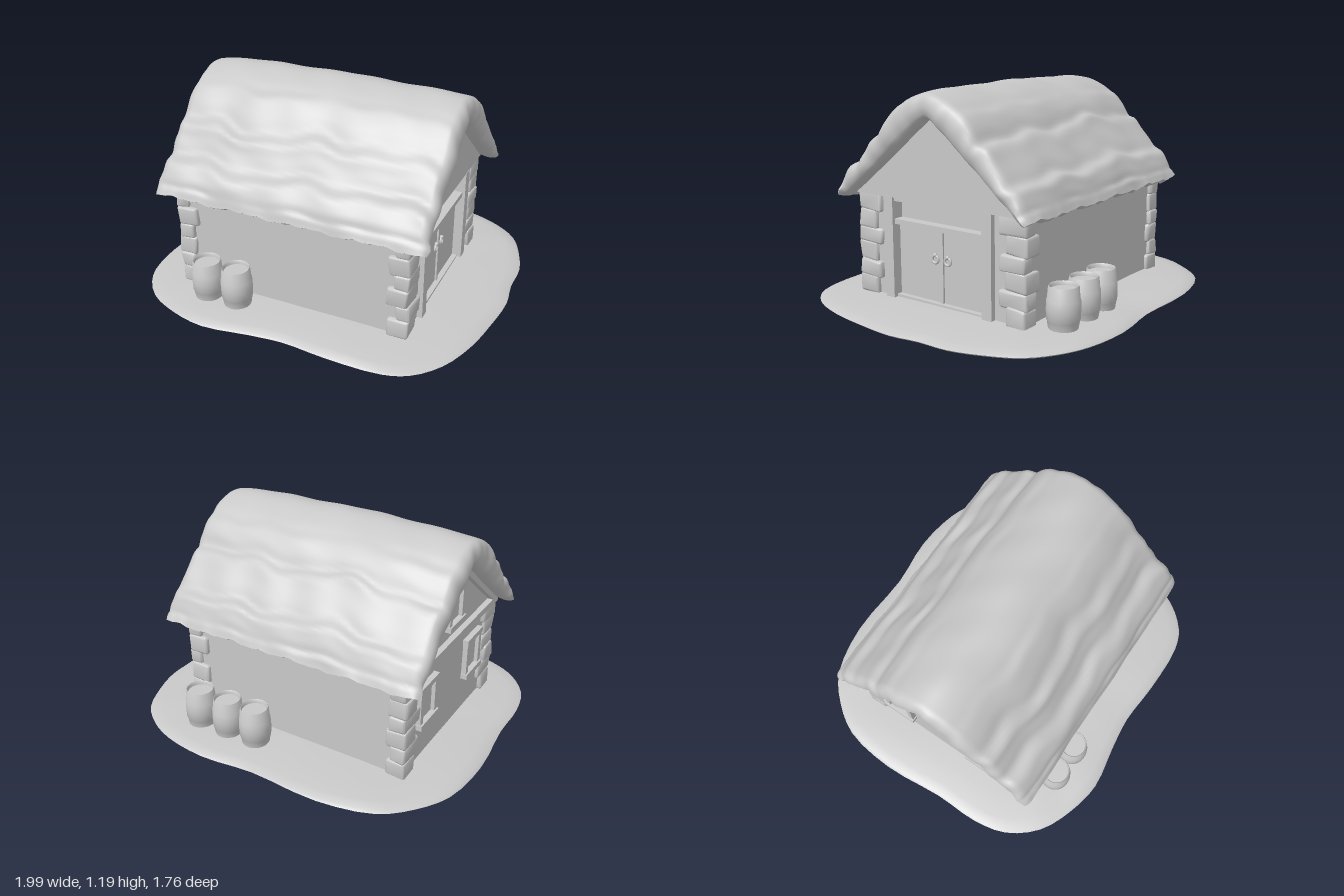
import * as THREE from 'three';
import { toCreasedNormals } from 'three/addons/utils/BufferGeometryUtils.js';
import { RoundedBoxGeometry } from 'three/addons/geometries/RoundedBoxGeometry.js';

const clay = new THREE.MeshStandardMaterial({ color: 0xc8c8c8 });
clay.name = 'pale grey';

const mesh = (name, geo, parent) => {
  const m = new THREE.Mesh(geo, clay);
  m.name = name;
  parent.add(m);
  return m;
};
const wave = (a, b) => (Math.sin(a * 7.3 + b * 3.1) + Math.sin(a * 15.7 - b * 8.3 + 1.7) + Math.sin(a * 31 + b * 19 + 0.6) * 0.6) / 2.6;

// Skin closed loops of points, one loop after another
function loft(loops) {
  const n = loops[0].length, pos = [], idx = [];
  loops.forEach(l => l.forEach(p => pos.push(p.x, p.y, p.z)));
  for (let i = 0; i < loops.length - 1; i++) for (let j = 0; j < n; j++) {
    const a = i * n + j, b = i * n + (j + 1) % n;
    idx.push(a, a + n, b, b, a + n, b + n);
  }
  const g = new THREE.BufferGeometry();
  g.setAttribute('position', new THREE.Float32BufferAttribute(pos, 3));
  g.setIndex(idx);
  g.computeVertexNormals();
  return g;
}

// Extrude a [z, y] outline along x from x0 to x1
function extrudeX(points, x0, x1, hole) {
  const vec = p => new THREE.Vector2(-p[0], p[1]);
  const shape = new THREE.Shape(points.map(vec));
  if (hole) shape.holes.push(new THREE.Path(hole.map(vec)));
  return new THREE.ExtrudeGeometry(shape, { depth: x1 - x0, bevelEnabled: false }).rotateY(Math.PI / 2).translate(x0, 0, 0);
}

// Box given by its limits
function block(name, [x0, x1], [y0, y1], [z0, z1], parent) {
  const m = mesh(name, new THREE.BoxGeometry(x1 - x0, y1 - y0, z1 - z0), parent);
  m.position.set((x0 + x1) / 2, (y0 + y1) / 2, (z0 + z1) / 2);
  return m;
}

function ground() {
  const rim = [[-0.4, -0.87], [0, -0.855], [0.3, -0.885], [0.56, -0.85], [0.72, -0.78], [0.85, -0.67], [0.93, -0.5], [0.975, -0.33],
    [0.975, -0.15], [0.995, 0.02], [0.97, 0.25], [0.93, 0.46], [0.85, 0.66], [0.73, 0.79], [0.6, 0.84], [0.3, 0.845], [0.05, 0.825],
    [-0.15, 0.845], [-0.4, 0.88], [-0.6, 0.84], [-0.79, 0.75], [-0.92, 0.59], [-0.965, 0.4], [-0.965, 0.15], [-0.995, -0.2],
    [-0.955, -0.5], [-0.85, -0.67], [-0.7, -0.8]];
  const pts = new THREE.CatmullRomCurve3(rim.map(([x, z]) => new THREE.Vector3(x, 0, z)), true).getPoints(84).slice(0, -1);
  const rings = [[0, 0.007], [0.985, 0.007], [1, 0.018], [0.985, 0.028], [0.93, 0.037], [0.82, 0.046], [0.65, 0.054], [0, 0.056]];
  const geo = loft(rings.map(([s, y]) => pts.map(p =>
    new THREE.Vector3(p.x * s, y - 0.007 * p.z / 0.88 * s + (s > 0.7 && y > 0.02 ? wave(p.x * 0.5, p.z * 0.5) * 0.005 : 0), p.z * s))));
  return toCreasedNormals(geo, 0.9);
}

// Thick thatch with wavy courses, ragged eaves and slimmer, rounded ends
function thatch() {
  const spline = a => new THREE.CatmullRomCurve3(a.map(([z, y]) => new THREE.Vector3(0, y, z)));
  const outer = spline([[0.65, 0.6], [0.616, 0.69], [0.5, 0.805], [0.41, 0.915], [0.275, 1.065], [0.147, 1.15], [0.015, 1.18],
    [-0.123, 1.14], [-0.25, 1.05], [-0.34, 0.94], [-0.48, 0.795], [-0.57, 0.69], [-0.61, 0.6]]);
  const inner = spline([[0.615, 0.578], [0.55, 0.622], [0.43, 0.715], [0.31, 0.81], [0.2, 0.9], [0.1, 0.98], [0.015, 1.035],
    [-0.07, 0.98], [-0.17, 0.9], [-0.28, 0.81], [-0.4, 0.715], [-0.515, 0.622], [-0.575, 0.578]]);
  const N = 96, M = 72, x0 = -0.8, x1 = 0.73, R = 0.05, loops = [];
  for (let i = 0; i <= M; i++) {
    const u = i / M, s = 0.5 - 0.5 * Math.cos(u * Math.PI);
    const x = x0 + (x1 - x0) * (0.55 * s + 0.45 * u);
    const d = Math.min(x - x0, x1 - x, R) / R, pinch = Math.sqrt(Math.max(0, 1 - (1 - d) ** 2));
    const slim = 0.16 * Math.abs((x - (x0 + x1) / 2) / ((x1 - x0) / 2)) ** 4;
    const out = [], inn = [];
    for (let j = 0; j <= N; j++) {
      const t = j / N, p = outer.getPoint(t), q = inner.getPoint(t);
      const down = Math.abs(t - 0.5) * 2, eave = Math.max(0, (down - 0.9) * 10);
      const side = t < 0.5 ? 0 : 5;
      const fade = THREE.MathUtils.smoothstep(down, 0.18, 0.4) * (1 - THREE.MathUtils.smoothstep(down, 0.85, 0.95));
      const a = (down * 4.2 + wave(x * 0.7, side) * 0.2) * Math.PI * 2;
      const strength = 0.012 + 0.005 * wave(x * 0.5, down * 2 + side);
      const bump = fade * strength * Math.sin(a + 0.7 * Math.sin(a)) + wave(x * 0.7, t * 1.5) * 0.007;
      p.lerp(q, slim * (1 - eave));
      p.addScaledVector(p.clone().sub(q).normalize(), bump);
      const rag = wave(x * 2.3, side) * 0.011 * eave;
      p.y += rag; q.y += rag;
      const mid = p.clone().add(q).multiplyScalar(0.5);
      p.lerpVectors(mid, p, pinch); q.lerpVectors(mid, q, pinch);
      p.x = q.x = x + (1 - d) * wave(t * 3, x0 + u) * 0.01;
      out.push(p); inn.unshift(q);
    }
    loops.push([...out, ...inn]);
  }
  return toCreasedNormals(loft(loops), 0.9);
}

// Uneven corner stones stacked with alternating long sides
function quoins(sx, sz, parent) {
  const cx = sx > 0 ? 0.637 : -0.718, cz = sz > 0 ? 0.583 : -0.54;
  const g = new THREE.Group();
  g.name = 'cornerStones';
  let y = 0.04;
  [0.1, 0.085, 0.1, 0.08, 0.1, 0.1].forEach((h, i) => {
    const k = i + sx * 2 + sz, j = wave(k * 1.9, k);
    const lx = (i % 2 ? 0.085 : 0.115) + j * 0.012, lz = (i % 2 ? 0.165 : 0.125) + j * 0.015;
    const geo = new RoundedBoxGeometry(lx, h + 0.006, lz, 2, 0.014);
    geo.translate(cx - sx * (lx / 2 + 0.005 + j * 0.006), y + h / 2, cz - sz * (lz / 2 + 0.005 - j * 0.006));
    const p = geo.attributes.position;
    for (let v = 0; v < p.count; v++) {
      const X = p.getX(v), Y = p.getY(v), Z = p.getZ(v);
      p.setXYZ(v, X + wave(Y * 3, Z * 3) * 0.006, Y + wave(X * 3, Z * 4) * 0.009, Z + wave(X * 4, Y * 3) * 0.006);
    }
    mesh('stone', toCreasedNormals(geo, 0.6), g);
    y += h;
  });
  parent.add(g);
}

// Framed window on the -x end
function windowFrame(name, z, y, w, h, parent) {
  const g = new THREE.Group(), f = 0.03, x = [-0.718, -0.68];
  g.name = name;
  for (const s of [-1, 1]) block('jamb', x, [y - h / 2, y + h / 2], [z + s * (w / 2 - f / 2) - f / 2, z + s * (w / 2 - f / 2) + f / 2], g);
  block('head', [-0.722, -0.68], [y + h / 2 - f, y + h / 2], [z - w / 2 - 0.006, z + w / 2 + 0.006], g);
  block('sill', [-0.728, -0.68], [y - h / 2, y - h / 2 + f], [z - w / 2 - 0.006, z + w / 2 + 0.006], g);
  block('pane', [-0.697, -0.688], [y - h / 2, y + h / 2], [z - w / 2 + f, z + w / 2 - f], g);
  parent.add(g);
}

// Double door with frame, transom and pulls
function doorway(parent) {
  const g = new THREE.Group();
  g.name = 'doorway';
  block('leftPost', [0.56, 0.638], [0.04, 0.6], [0.32, 0.378], g);
  block('rightPost', [0.56, 0.638], [0.04, 0.6], [-0.333, -0.272], g);
  block('lintel', [0.56, 0.622], [0.575, 0.6], [-0.28, 0.33], g);
  block('transom', [0.56, 0.622], [0.452, 0.48], [-0.28, 0.33], g);
  block('threshold', [0.56, 0.615], [0.04, 0.065], [-0.28, 0.33], g);
  for (const s of [-1, 1]) {
    const zc = 0.023 + s * 0.149;
    block('doorLeaf', [0.56, 0.585], [0.06, 0.455], [zc - 0.146, zc + 0.146], g);
    const pull = mesh('doorPull', new THREE.TorusGeometry(0.02, 0.007, 8, 16).rotateY(Math.PI / 2), g);
    pull.position.set(0.594, 0.295, 0.023 + s * 0.042);
    mesh('doorKnob', new THREE.SphereGeometry(0.011, 10, 8), g).position.set(0.595, 0.318, 0.023 + s * 0.042);
  }
  block('centreStrip', [0.56, 0.595], [0.06, 0.455], [0.012, 0.034], g);
  parent.add(g);
}

function barrelGeometry() {
  const profile = [[0, 0], [0.074, 0], [0.081, 0.045], [0.084, 0.05], [0.086, 0.1], [0.084, 0.15], [0.081, 0.156], [0.076, 0.212],
    [0.073, 0.218], [0.069, 0.212], [0.067, 0.196], [0, 0.196]];
  return toCreasedNormals(new THREE.LatheGeometry(profile.map(p => new THREE.Vector2(...p)), 24), 0.8);
}

export function createModel() {
  const house = new THREE.Group();
  house.name = 'thatchedBarn';
  mesh('ground', ground(), house);

  // Walls and gables
  const outline = [[0.553, 0.03], [0.553, 0.64], [0.02, 1.06], [-0.513, 0.64], [-0.513, 0.03]];
  mesh('walls', extrudeX(outline, -0.69, 0.565), house);
  mesh('doorWall', extrudeX([[0.553, 0.03], [0.553, 0.6], [-0.513, 0.6], [-0.513, 0.03]], 0.565, 0.608,
    [[0.325, 0.04], [0.325, 0.59], [-0.278, 0.59], [-0.278, 0.04]]), house);
  mesh('frontGable', extrudeX([[0.59, 0.595], [0.02, 1.06], [-0.555, 0.595]], 0.56, 0.635), house);

  // Timber trim on the windowed gable
  block('gableBeam', [-0.722, -0.68], [0.58, 0.618], [-0.55, 0.585], house);
  for (const s of [-1, 1]) {
    const z = v => 0.018 + s * v;
    const strip = [[z(0.57), 0.6], [z(0), 1.055], [z(0), 1.005], [z(0.51), 0.6]];
    mesh('gableRafter', extrudeX(s > 0 ? strip : strip.reverse(), -0.722, -0.68), house);
  }
  windowFrame('rightWindow', -0.28, 0.38, 0.19, 0.245, house);
  windowFrame('leftWindow', 0.285, 0.38, 0.19, 0.245, house);
  windowFrame('gableWindow', 0.01, 0.8, 0.18, 0.235, house);

  doorway(house);
  for (const sx of [-1, 1]) for (const sz of [-1, 1]) quoins(sx, sz, house);
  mesh('thatchRoof', thatch(), house);

  // Barrels along both long walls
  const barrel = barrelGeometry();
  [[-0.495, 0.652], [-0.315, 0.652], [0.12, -0.645], [0.295, -0.65], [0.48, -0.65]].forEach(([x, z], i) => {
    const b = mesh('barrel', barrel, house);
    b.position.set(x, 0.047, z);
    b.rotation.y = i;
  });
  return house;
}
